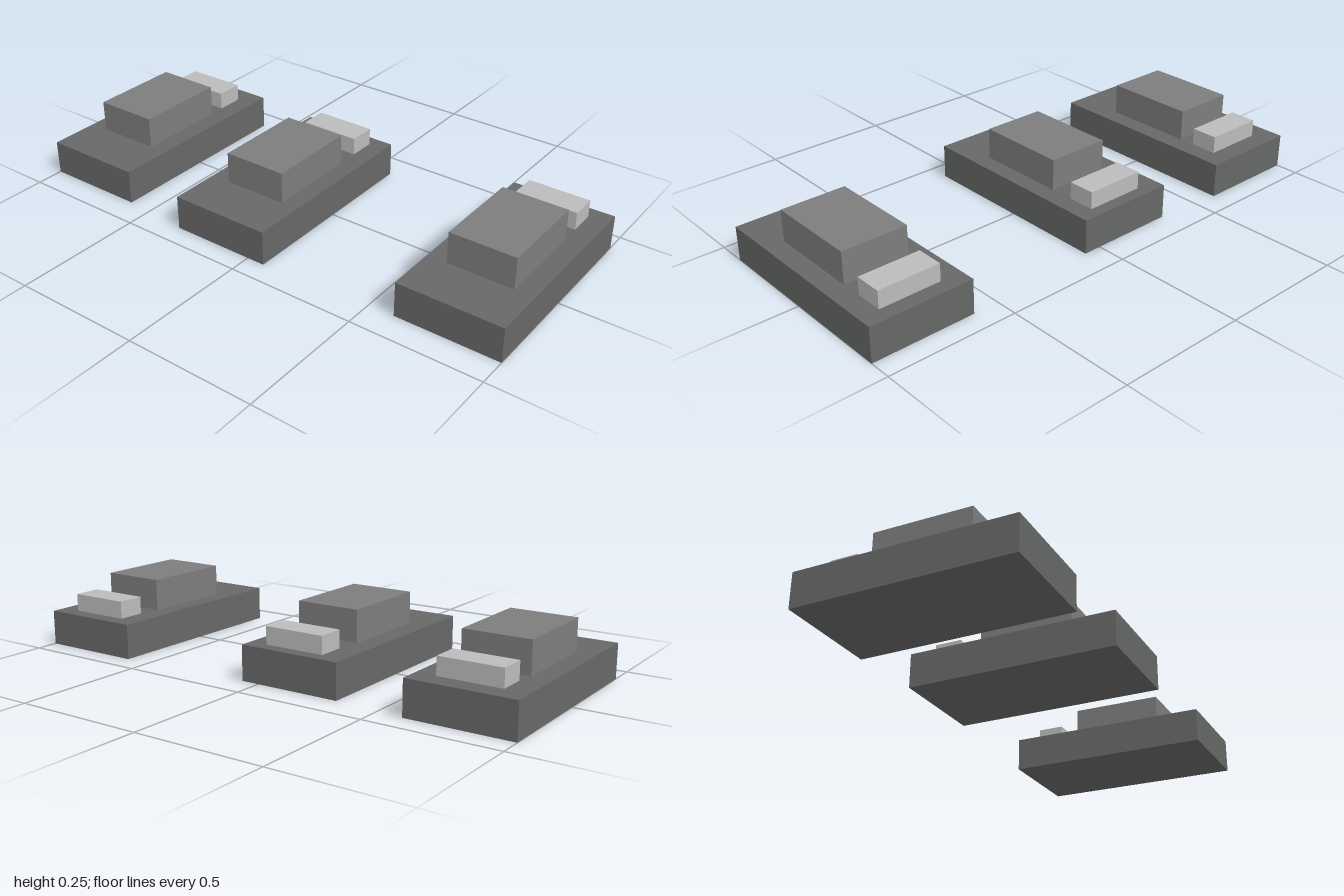
import * as THREE from 'three';

const BASE_H = 0.133;
const baseMat = new THREE.MeshStandardMaterial({ color: 0x666866 });
const blockMat = new THREE.MeshStandardMaterial({ color: 0x7c7d7c });
const barMat = new THREE.MeshStandardMaterial({ color: 0xbbbbbb });

// Box resting on height y, centred on x and z
function box(name, [w, h, d], [x, y, z], material) {
  const mesh = new THREE.Mesh(new THREE.BoxGeometry(w, h, d), material);
  mesh.name = name;
  mesh.position.set(x, y + h / 2, z);
  return mesh;
}

// One stepped unit: slab, raised block and a small bar behind it
function unit(name, { x, z, blockX, barX, barZ }) {
  const group = new THREE.Group();
  group.name = name;
  group.position.set(x, 0, z);
  group.add(
    box('baseSlab', [0.4, BASE_H, 0.802], [0, 0, 0], baseMat),
    box('raisedBlock', [0.252, 0.121, 0.361], [blockX, BASE_H, 0.024], blockMat),
    box('rearBar', [0.238, 0.067, 0.106], [barX, BASE_H, barZ], barMat)
  );
  return group;
}

export function createModel() {
  const model = new THREE.Group();
  model.name = 'steppedUnits';
  model.add(
    unit('rightUnit', { x: -0.8, z: -0.009, blockX: 0, barX: 0.005, barZ: -0.271 }),
    unit('middleUnit', { x: -0.13, z: 0.014, blockX: 0.005, barX: 0.01, barZ: -0.3 }),
    unit('leftUnit', { x: 0.8, z: -0.014, blockX: 0, barX: 0.005, barZ: -0.29 })
  );
  return model;
}
